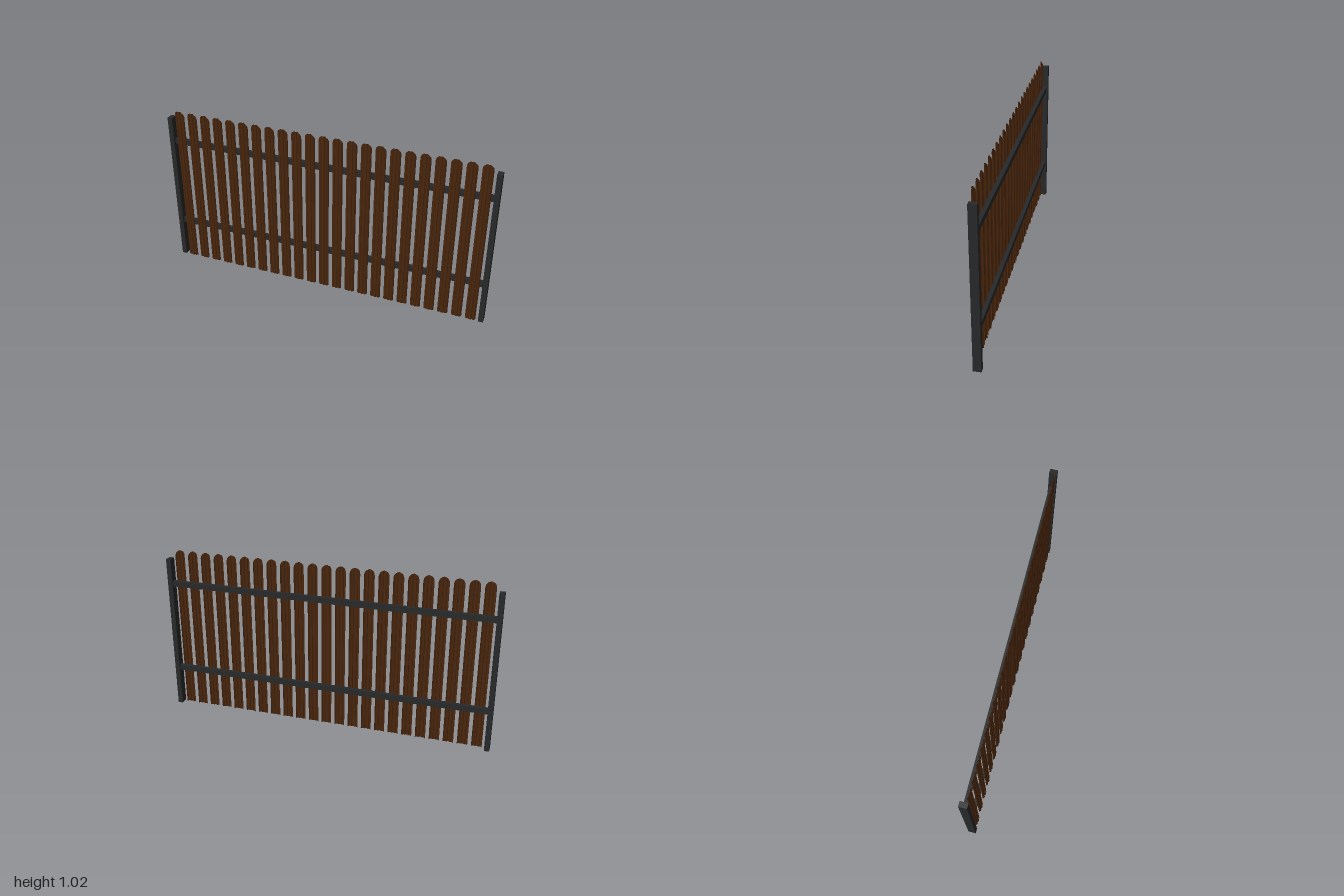
import * as THREE from 'three';

const steel = new THREE.MeshStandardMaterial({ color: 0x272829 });
const brown = new THREE.MeshStandardMaterial({ color: 0x4a260c, flatShading: true, side: THREE.DoubleSide });

// Half of the pressed-sheet cross-section, from the centre ridge to the edge: [x, z]
const half = [[0, 0.022], [0.005, 0.021], [0.009, 0.016], [0.013, 0.016], [0.017, 0.020],
  [0.023, 0.018], [0.028, 0.014], [0.031, 0.010]];
const profile = [...half.slice(1).reverse().map(([x, z]) => [-x, z]), ...half];

// Thin ribbed slat with a rounded top
function picketGeometry() {
  const n = profile.length;
  const geo = new THREE.PlaneGeometry(1, 1, n - 1, 1);
  const pos = geo.attributes.position;
  for (let i = 0; i < pos.count; i++) {
    const [x, z] = profile[i % n];
    const u = x / 0.031;
    const top = 0.988 + 0.032 * Math.sqrt(Math.max(0, 1 - u * u));
    pos.setXYZ(i, x, i < n ? top : 0, z);
  }
  geo.computeVertexNormals();
  return geo;
}

function box(name, w, h, d, x, y, z) {
  const mesh = new THREE.Mesh(new THREE.BoxGeometry(w, h, d), steel);
  mesh.name = name;
  mesh.position.set(x, y, z);
  return mesh;
}

export function createModel() {
  const fence = new THREE.Group();
  fence.name = 'fencePanel';

  // End posts
  fence.add(box('leftPost', 0.03, 0.97, 0.046, 0.985, 0.485, 0));
  fence.add(box('rightPost', 0.03, 0.97, 0.046, -0.985, 0.485, 0));

  // Horizontal rails behind the pickets
  fence.add(box('lowerRail', 1.94, 0.034, 0.024, 0, 0.253, -0.003));
  fence.add(box('upperRail', 1.94, 0.034, 0.024, 0, 0.815, -0.003));

  // Row of pickets
  const pickets = new THREE.Group();
  pickets.name = 'pickets';
  const geo = picketGeometry();
  const count = 23;
  for (let i = 0; i < count; i++) {
    const picket = new THREE.Mesh(geo, brown);
    picket.name = 'picket';
    picket.position.x = (i - (count - 1) / 2) * 0.0838;
    pickets.add(picket);
  }
  fence.add(pickets);
  return fence;
}
